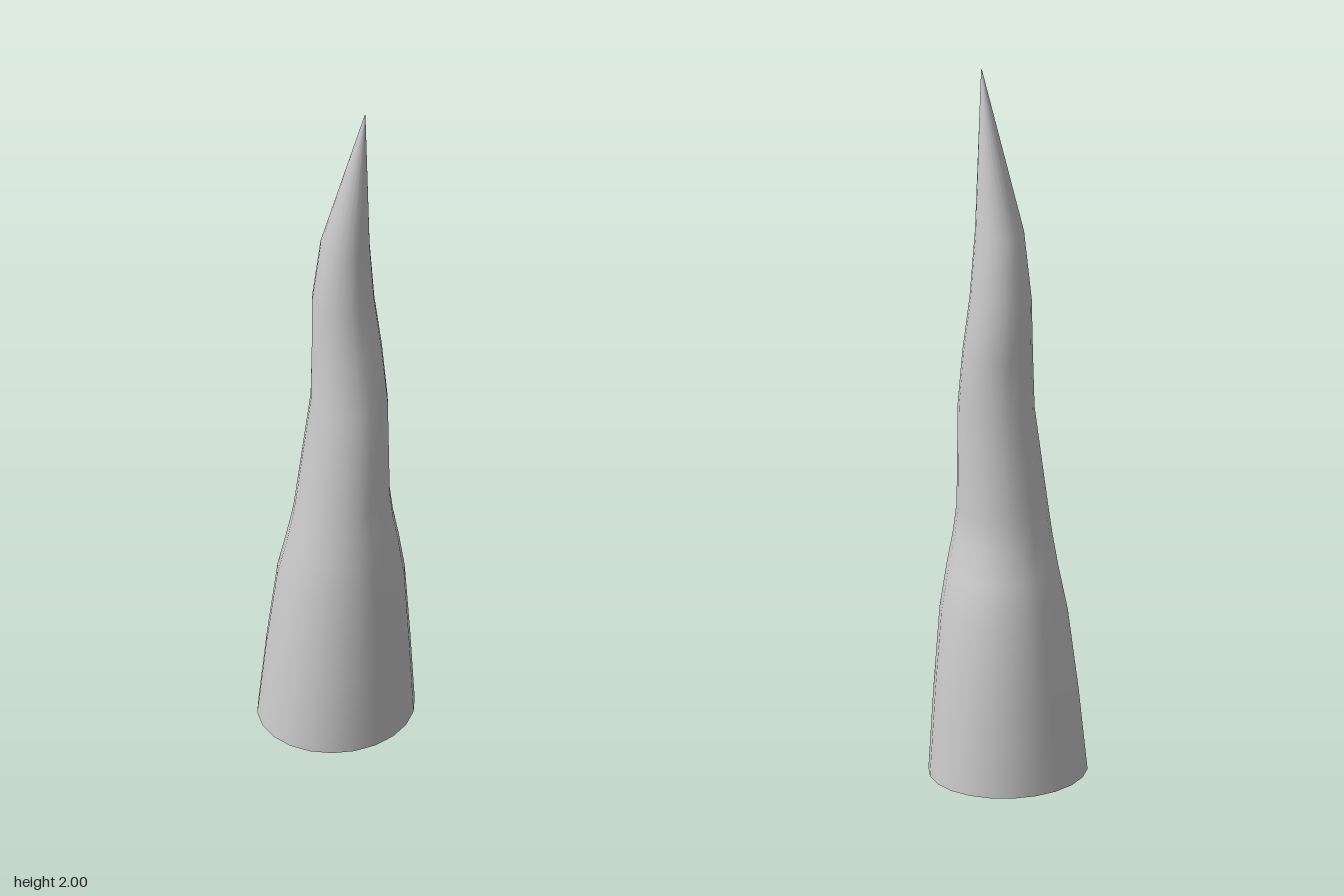
import * as THREE from 'three';
import { mergeVertices } from 'three/addons/utils/BufferGeometryUtils.js';

// Cross-sections from base to tip: height, x min, x max, z min, z max
const SECTIONS = [
  [0, -0.217, 0.217, -0.205, 0.205],
  [0.23, -0.195, 0.198, -0.183, 0.196],
  [0.46, -0.168, 0.174, -0.156, 0.186],
  [0.58, -0.149, 0.143, -0.126, 0.181],
  [0.67, -0.137, 0.122, -0.105, 0.17],
  [0.75, -0.125, 0.11, -0.096, 0.163],
  [1.04, -0.089, 0.11, -0.069, 0.145],
  [1.2, -0.078, 0.11, -0.07, 0.119],
  [1.36, -0.066, 0.098, -0.073, 0.096],
  [1.55, -0.053, 0.075, -0.045, 0.09],
  [2, 0.026, 0.028, 0.079, 0.081],
];

export function createModel() {
  const group = new THREE.Group();
  const rows = SECTIONS.length - 1;

  // Open tube whose rings are fitted to the bending, tapering sections
  let geometry = new THREE.CylinderGeometry(1, 1, rows, 22, rows, true);
  const pos = geometry.attributes.position;
  for (let i = 0; i < pos.count; i++) {
    const [y, x0, x1, z0, z1] = SECTIONS[Math.round(pos.getY(i) + rows / 2)];
    pos.setXYZ(
      i,
      (x0 + x1) / 2 + pos.getX(i) * (x1 - x0) / 2,
      y,
      (z0 + z1) / 2 + pos.getZ(i) * (z1 - z0) / 2
    );
  }

  // Weld the seam so the shading stays smooth all the way round
  geometry.deleteAttribute('uv');
  geometry.deleteAttribute('normal');
  geometry = mergeVertices(geometry, 1e-5);
  geometry.computeVertexNormals();

  const spike = new THREE.Mesh(
    geometry,
    new THREE.MeshStandardMaterial({ color: 0xcccccc, side: THREE.DoubleSide })
  );
  spike.name = 'spike';
  group.add(spike);
  return group;
}
